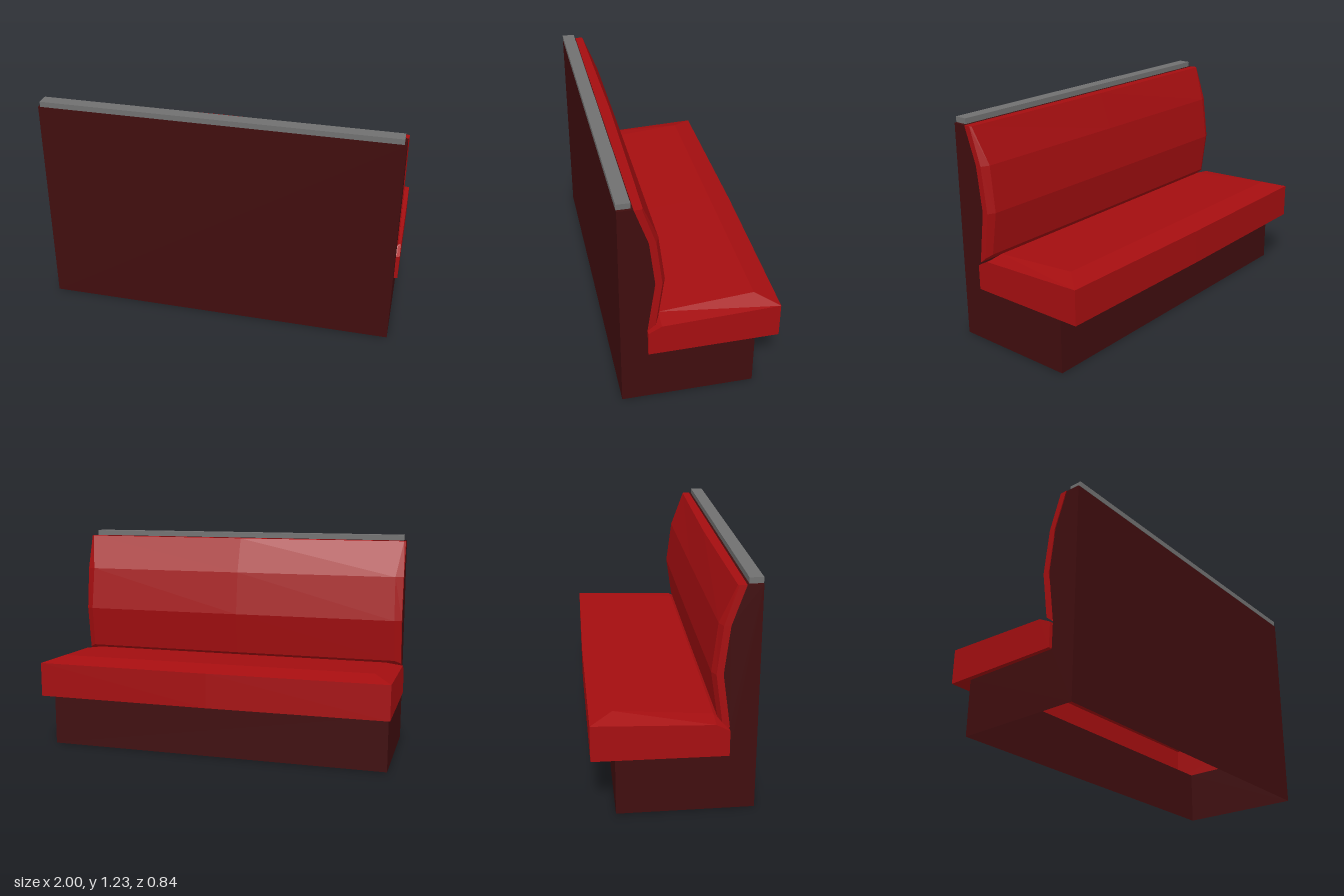
import * as THREE from 'three';

const red = new THREE.MeshStandardMaterial({ color: 0xa50e10, side: THREE.DoubleSide, flatShading: true });
red.name = 'red upholstery';
const maroon = new THREE.MeshStandardMaterial({ color: 0x400d0e, side: THREE.DoubleSide, flatShading: true });
maroon.name = 'dark maroon panel';
const grey = new THREE.MeshStandardMaterial({ color: 0x717171 });
grey.name = 'grey trim';

// Joins rows of [x, y, z] points into flat-shaded quads
function surface(name, rows, material, closed = false) {
  const pos = [];
  for (let i = 0; i < rows.length - 1; i++) {
    const n = rows[i].length;
    for (let j = 0; j < (closed ? n : n - 1); j++) {
      const k = (j + 1) % n;
      const a = rows[i][j], b = rows[i][k], c = rows[i + 1][k], d = rows[i + 1][j];
      pos.push(...a, ...d, ...c, ...a, ...c, ...b);
    }
  }
  const geo = new THREE.BufferGeometry();
  geo.setAttribute('position', new THREE.Float32BufferAttribute(pos, 3));
  geo.computeVertexNormals();
  const mesh = new THREE.Mesh(geo, material);
  mesh.name = name;
  return mesh;
}

function panel(name, w, h, x, y, z) {
  const mesh = new THREE.Mesh(new THREE.PlaneGeometry(w, h), maroon);
  mesh.name = name;
  mesh.position.set(x, y, z);
  return mesh;
}

// Hollow body: end panels, rear panel, kick panel and top strip, open underneath
function body() {
  const g = new THREE.Group();
  g.name = 'body';
  const profile = [[0.42, 0], [0.42, 1.2], [0.34, 1.2], [0.27, 1], [0.24, 0.75],
    [0.28, 0.46], [0.28, 0.31], [-0.29, 0.31], [-0.29, 0]];
  const shape = new THREE.Shape(profile.map(([z, y]) => new THREE.Vector2(-z, y)));
  for (const s of [-1, 1]) {
    const end = new THREE.Mesh(new THREE.ShapeGeometry(shape), maroon);
    end.name = s > 0 ? 'leftEndPanel' : 'rightEndPanel';
    end.rotation.y = Math.PI / 2;
    end.position.x = s * 0.98;
    g.add(end);
  }
  g.add(panel('rearPanel', 1.96, 1.2, 0, 0.6, 0.42));
  const kick = panel('kickPanel', 1.96, 0.31, 0, 0.155, -0.29);
  kick.rotation.y = Math.PI;
  const top = panel('topStrip', 1.96, 0.08, 0, 1.2, 0.38);
  top.rotation.x = -Math.PI / 2;
  g.add(kick, top);
  return g;
}

// Seat cushion: rings of rear, knee and front points, with a bowed front
function seat() {
  const g = new THREE.Group();
  g.name = 'seatCushion';
  const ring = (x, rear, knee, front, bow) => [
    [-x, rear[1], rear[0]], [-x, knee[1], knee[0]], [-x, front[1], front[0]],
    [0, front[1], front[0] - bow],
    [x, front[1], front[0]], [x, knee[1], knee[0]], [x, rear[1], rear[0]],
  ];
  const crown = ring(0.9, [0.28, 0.45], [0.21, 0.5], [-0.295, 0.54], 0);
  const rings = [
    ring(0.98, [0.28, 0.31], [0.21, 0.31], [-0.29, 0.31], 0),
    ring(1, [0.28, 0.312], [0.21, 0.312], [-0.412, 0.316], 0.009),
    ring(1, [0.28, 0.45], [0.21, 0.487], [-0.412, 0.51], 0.009),
    crown,
  ];
  g.add(surface('seatSides', rings, red, true));
  const mid = (a, b) => [0, (a[1] + b[1]) / 2, (a[2] + b[2]) / 2];
  const across = (l, r) => [crown[l], mid(crown[l], crown[r]), crown[r]];
  g.add(surface('seatTop', [across(2, 4), across(1, 5), across(0, 6)], red));
  return g;
}

// Back cushion: side wall, chamfer and slightly bowed face at each height
function back() {
  const g = new THREE.Group();
  g.name = 'backCushion';
  // [y outer, y inner, z outer, z side, z face, face half width]
  const levels = [
    [0.46, 0.51, 0.28, 0.24, 0.22, 0.95],
    [0.75, 0.75, 0.24, 0.205, 0.185, 0.945],
    [1.0, 1.0, 0.27, 0.235, 0.216, 0.94],
    [1.2, 1.2, 0.34, 0.302, 0.296, 0.975],
  ];
  const mirror = (half, centre) =>
    [...half, centre, ...half.map(([x, y, z]) => [-x, y, z]).reverse()];
  const rows = levels.map(([yo, yi, zo, zs, zf, w]) => mirror(
    [[-0.985, yo, zo], [-0.985, yo + (yi - yo) * 0.65, zs], [-w, yi, zf]],
    [0, yi, zf - (yo > 1.1 ? 0.012 : 0.002)]));
  const rearEdge = (row, y, z) => row.map(([x]) => [x, y, z]);
  g.add(surface('backFace', rows, red));
  g.add(surface('backTop', [rows[3], rearEdge(rows[3], 1.2, 0.34)], red));
  g.add(surface('backUnderside', [rearEdge(rows[0], 0.46, 0.28), rows[0]], red));
  return g;
}

export function createModel() {
  const model = new THREE.Group();
  model.name = 'boothBench';
  const rail = new THREE.Mesh(new THREE.BoxGeometry(1.935, 0.03, 0.07), grey);
  rail.name = 'topRail';
  rail.position.set(0, 1.216, 0.386);
  model.add(body(), seat(), back(), rail);
  return model;
}
